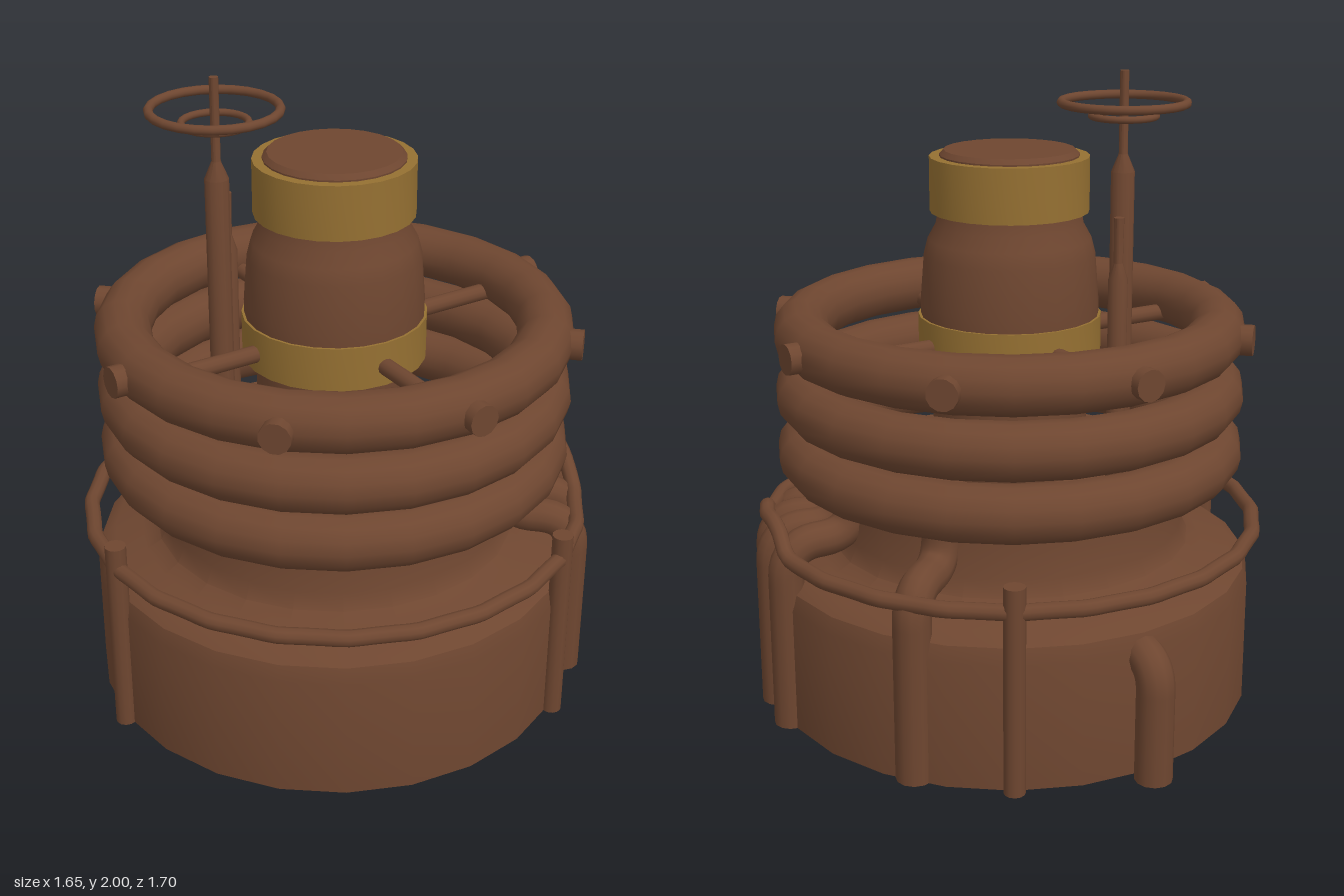
import * as THREE from 'three';
import { toCreasedNormals } from 'three/addons/utils/BufferGeometryUtils.js';

const SIDES = 24;
const V = (x, y, z) => new THREE.Vector3(x, y, z);

export function createModel() {
  const root = new THREE.Group();
  root.name = 'valveAssembly';
  // everything is arranged around one slightly offset axis
  const model = new THREE.Group();
  model.name = 'vessel';
  model.position.set(-0.012, 0, 0.037);
  root.add(model);

  const brown = new THREE.MeshStandardMaterial({ color: 0x6e4630 });
  brown.name = 'rusty brown';
  const brass = new THREE.MeshStandardMaterial({ color: 0x957032 });
  brass.name = 'aged brass';

  function add(name, geometry, material = brown, x = 0, y = 0, z = 0) {
    const mesh = new THREE.Mesh(geometry, material);
    mesh.name = name;
    mesh.position.set(x, y, z);
    model.add(mesh);
    return mesh;
  }

  function lathe(profile, sides = SIDES) {
    const pts = profile.map(([r, y]) => new THREE.Vector2(r, y));
    return toCreasedNormals(new THREE.LatheGeometry(pts, sides), 0.6);
  }

  function ring(name, R, r, y, x = 0, z = 0) {
    const g = new THREE.TorusGeometry(R, r, 14, SIDES);
    g.rotateX(Math.PI / 2);
    return add(name, g, brown, x, y, z);
  }

  // straight rod between two points
  function rod(name, a, b, r) {
    const d = b.clone().sub(a);
    const mesh = add(name, new THREE.CylinderGeometry(r, r, d.length(), 12));
    mesh.position.copy(a).add(b).multiplyScalar(0.5);
    mesh.quaternion.setFromUnitVectors(V(0, 1, 0), d.normalize());
    return mesh;
  }

  // bent pipe: straight runs joined by rounded corners
  function pipe(name, pts, r, bend) {
    const path = new THREE.CurvePath();
    let from = pts[0];
    for (let i = 1; i < pts.length - 1; i++) {
      const p = pts[i];
      const before = p.clone().add(pts[i - 1].clone().sub(p).setLength(bend));
      const after = p.clone().add(pts[i + 1].clone().sub(p).setLength(bend));
      path.add(new THREE.LineCurve3(from, before));
      path.add(new THREE.QuadraticBezierCurve3(before, p, after));
      from = after;
    }
    path.add(new THREE.LineCurve3(from, pts[pts.length - 1]));
    add(name, new THREE.TubeGeometry(path, 40, r, 12));
    const cap = new THREE.CircleGeometry(r, 12);
    cap.rotateX(Math.PI / 2);
    add(name + 'End', cap, brown, pts[0].x, pts[0].y, pts[0].z);
  }

  const polar = (deg, r, y) => {
    const a = THREE.MathUtils.degToRad(deg);
    return V(r * Math.cos(a), y, r * Math.sin(a));
  };

  // drum with rounded shoulder and collar
  add('drum', lathe([[0, 0], [0.78, 0], [0.78, 0.4], [0.765, 0.45], [0.72, 0.483], [0.63, 0.492],
    [0.58, 0.52], [0.555, 0.57], [0.555, 0.75], [0, 0.75]]));

  // three stacked coils
  [0.82, 1.01, 1.205].forEach((y) => ring('coilRing', 0.657, 0.088, y));

  // studs around the top coil
  for (let i = 0; i < 8; i++) {
    rod('ringStud', polar(i * 45, 0.6, 1.205), polar(i * 45, 0.77, 1.205), 0.048);
  }

  // spokes from the core to the top coil
  for (let i = 0; i < 4; i++) {
    rod('spoke', polar(i * 90, 0.2, 1.17), polar(i * 90, 0.62, 1.17), 0.027);
  }

  // central core with brass bands and cap
  add('coreColumn', lathe([[0.245, 0.74], [0.245, 1.12]]));
  add('lowerBand', lathe([[0.24, 1.11], [0.288, 1.11], [0.288, 1.25], [0.26, 1.25]]), brass);
  add('coreNeck', lathe([[0.28, 1.24], [0.28, 1.29], [0.268, 1.44], [0.255, 1.49], [0.23, 1.535],
    [0.222, 1.58]]));
  add('upperBand', lathe([[0.2, 1.575], [0.248, 1.575], [0.248, 1.745], [0.19, 1.745]]), brass);
  add('coreCap', lathe([[0.217, 1.74], [0.217, 1.75], [0.203, 1.765], [0, 1.765]]));

  // valve stem with two hand wheels
  const sx = -0.313, sz = -0.16;
  add('valveStem', lathe([[0.037, 0.74], [0.037, 1.69], [0.014, 1.745], [0.014, 2], [0, 2]], 12),
    brown, sx, 0, sz);
  ring('handWheel', 0.193, 0.014, 1.903, sx, sz);
  ring('smallHandWheel', 0.1, 0.011, 1.862, sx, sz);

  // slim vent beside the stem
  add('ventTube', lathe([[0.03, 0.74], [0.03, 1.39], [0.014, 1.44], [0.016, 1.58], [0, 1.58]], 12),
    brown, -0.205, 0, -0.3);

  // three rail posts
  [180, 60, -60].forEach((deg) => rod('railPost', polar(deg, 0.79, 0), polar(deg, 0.79, 0.655), 0.033));

  // guard rail, stepped up over the pipes
  const lift = (d) => 0.575 + 0.075 *
    Math.min(THREE.MathUtils.clamp((d + 1) / 8, 0, 1), THREE.MathUtils.clamp((31 - d) / 9, 0, 1));
  const railPoints = [];
  for (let d = -180; d < 180; d += 5) {
    // straight chords between the rail's corners
    const off = ((d % 15) + 15) % 15 - 7.5;
    const r = 0.79 * Math.cos(Math.PI / 24) / Math.cos(THREE.MathUtils.degToRad(off));
    railPoints.push(polar(d, r, lift(d)));
  }
  add('guardRail', new THREE.TubeGeometry(new THREE.CatmullRomCurve3(railPoints, true), 144, 0.025, 10, true));

  // bank of side pipes bending over the shoulder and up the collar
  [[4, 0.6], [16.5, 0.59], [29, 0.575], [41, 0.565]].forEach(([deg, y]) => {
    pipe('sidePipe', [polar(deg, 0.775, 0), polar(deg, 0.775, y), polar(deg, 0.545, y),
      polar(deg, 0.545, 0.76)], 0.056, 0.11);
  });
  pipe('sunkenPipe', [polar(-37, 0.755, 0), polar(-37, 0.755, 0.6), polar(-37, 0.545, 0.6),
    polar(-37, 0.545, 0.76)], 0.058, 0.1);

  // rear drain pipe
  pipe('drainPipe', [V(0, 0, -0.828), V(0, 0.385, -0.828), V(0, 0.385, -0.66)], 0.058, 0.1);

  return root;
}
